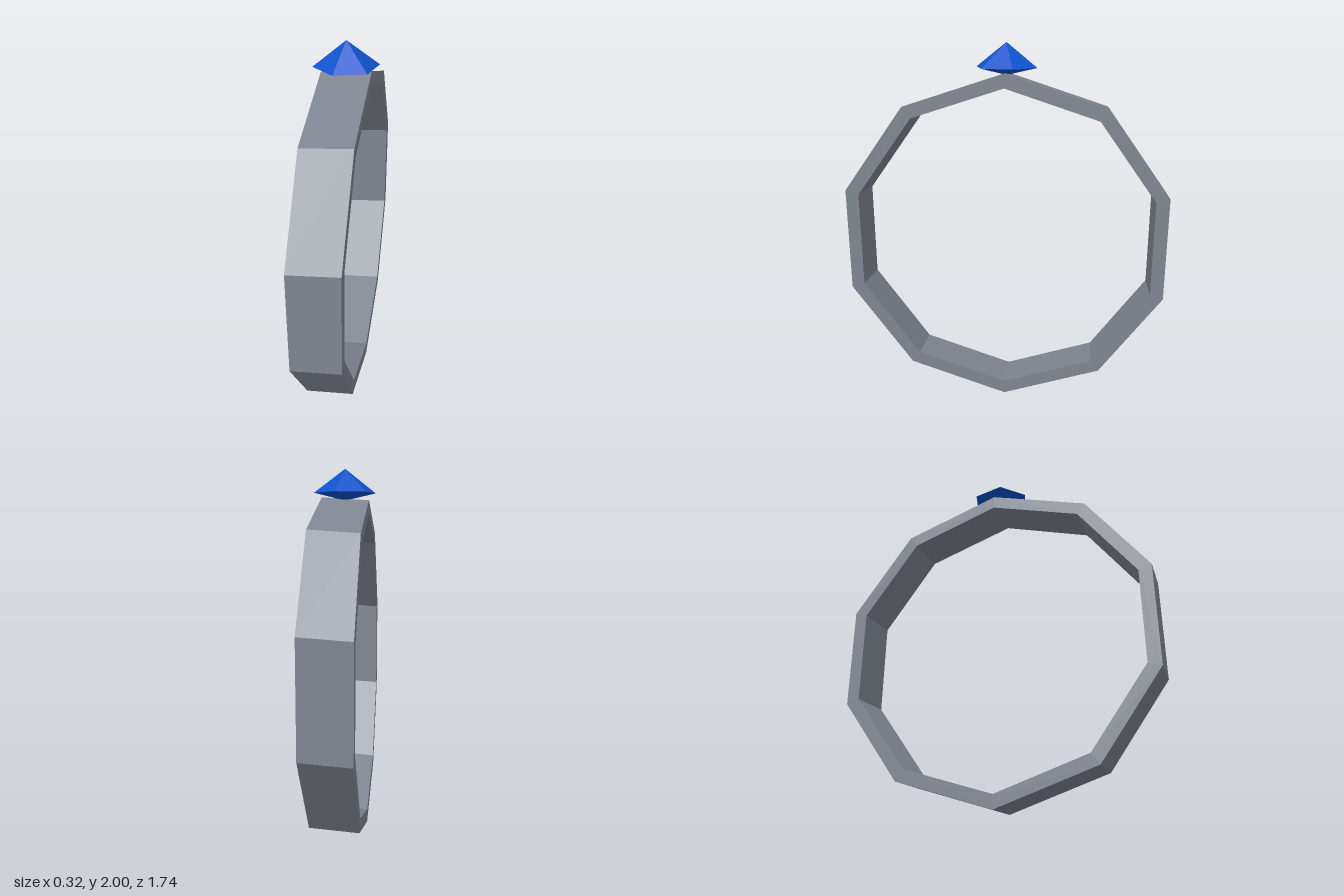
import * as THREE from 'three';

const SIDES = 10;

// Regular polygon outline, counter-clockwise, with one corner at the top
function polygon(radius, Type) {
  const points = [];
  for (let i = 0; i < SIDES; i++) {
    const a = (i / SIDES) * Math.PI * 2;
    points.push(new THREE.Vector2(-Math.sin(a) * radius, Math.cos(a) * radius));
  }
  return new Type(points);
}

function createBand() {
  const width = 0.257, slant = 0.066;
  const outline = polygon(0.917, THREE.Shape);
  outline.holes.push(polygon(0.842, THREE.Path));
  const geometry = new THREE.ExtrudeGeometry(outline, { depth: width, bevelEnabled: false });
  geometry.translate(0, 0, -width / 2);
  geometry.rotateY(Math.PI / 2);

  // The band rises slightly towards its left side
  const pos = geometry.attributes.position;
  for (let i = 0; i < pos.count; i++) pos.setY(i, pos.getY(i) + slant * pos.getX(i));
  geometry.translate(-0.001, 0.926, 0);
  geometry.computeVertexNormals();

  const band = new THREE.Mesh(geometry, new THREE.MeshStandardMaterial({ color: 0x7f8590, flatShading: true }));
  band.name = 'band';
  return band;
}

function createGem() {
  // Shallow point below, girdle, taller point above
  const profile = [[0, 1.833], [0.169, 1.873], [0, 2]].map(([r, y]) => new THREE.Vector2(r, y));
  const geometry = new THREE.LatheGeometry(profile, 6, THREE.MathUtils.degToRad(46.2));
  const gem = new THREE.Mesh(geometry, new THREE.MeshStandardMaterial({ color: 0x0f52cc, flatShading: true }));
  gem.name = 'gem';
  return gem;
}

export function createModel() {
  const ring = new THREE.Group();
  ring.name = 'ring';
  ring.add(createBand(), createGem());
  return ring;
}
